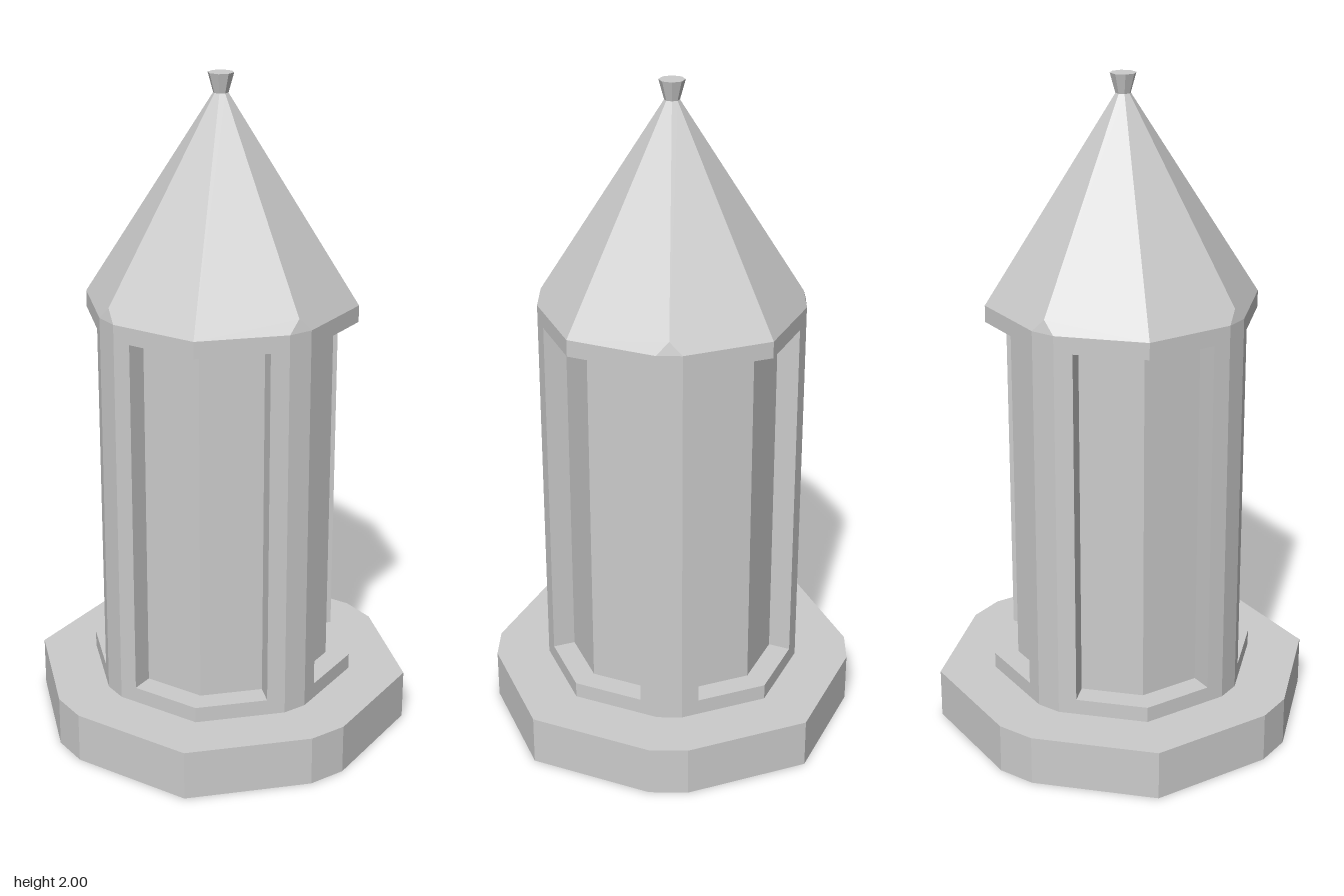
import * as THREE from 'three';

const material = new THREE.MeshStandardMaterial({ color: 0xcccccc, flatShading: true });
const SLOPE = Math.tan(Math.PI / 8); // slope of the octagon sides

// Outline of an octagon with corners on the axes and its diagonal corners cut at x = cut
function cutOctagon(r, cut) {
  const q = r - SLOPE * cut;
  const pts = [];
  for (let i = 0; i < 4; i++) {
    const a = i * Math.PI / 2;
    for (const [x, y] of [[r, 0], [q, cut], [cut, q]]) {
      pts.push(new THREE.Vector2(x, y).rotateAround(new THREE.Vector2(), a));
    }
  }
  return pts;
}

// Upright prism between two heights
function prism(name, pts, y0, y1) {
  const geo = new THREE.ExtrudeGeometry(new THREE.Shape(pts), { depth: y1 - y0, bevelEnabled: false });
  geo.rotateX(-Math.PI / 2);
  geo.translate(0, y0, 0);
  const mesh = new THREE.Mesh(geo, material);
  mesh.name = name;
  return mesh;
}

// Eight-sided spire whose diagonal corners are chamfered at the eaves
function roofGeometry(r, cut, y0, topR, y1) {
  const q = r - SLOPE * cut;
  const midR = 0.382;
  const d = Math.SQRT1_2;
  const midY = y0 + (r - midR) / (r - topR) * (y1 - y0);
  const A = [0, y0, r], B = [cut, y0, q], C = [q, y0, cut], D = [r, y0, 0];
  const M = [midR * d, midY, midR * d];
  const TA = [0, y1, topR], TM = [topR * d, y1, topR * d], TD = [topR, y1, 0];
  const faces = [[A, B, M, TM, TA], [B, C, M], [M, C, D, TD, TM]];
  const pos = [];
  const up = new THREE.Vector3(0, 1, 0);
  for (let i = 0; i < 4; i++) {
    for (const f of faces) {
      for (let k = 1; k < f.length - 1; k++) {
        for (const p of [f[0], f[k], f[k + 1]]) {
          pos.push(...new THREE.Vector3(...p).applyAxisAngle(up, i * Math.PI / 2).toArray());
        }
      }
    }
  }
  const geo = new THREE.BufferGeometry();
  geo.setAttribute('position', new THREE.Float32BufferAttribute(pos, 3));
  geo.computeVertexNormals();
  return geo;
}

export function createModel() {
  const group = new THREE.Group();
  const R = 0.406, CUT = 0.25, CORE = 0.333;
  const plan = cutOctagon(R, CUT);

  // Plinth, sill, recessed core and lintel
  group.add(prism('base', cutOctagon(0.578, 0.351), 0, 0.152));
  group.add(prism('sill', plan, 0.152, 0.2));
  group.add(prism('core', cutOctagon(CORE, 0.2), 0.2, 1.29));
  group.add(prism('lintel', plan, 1.29, 1.34));

  // Chamfered corner posts between the recessed bays
  const edge = 0.2, inner = 0.174;
  const half = [
    [inner, CORE - SLOPE * inner],
    [edge, R - SLOPE * edge],
    [CUT, R - SLOPE * CUT],
  ];
  const outline = [...half, ...half.map(([x, y]) => [y, x]).reverse()];
  const postPts = outline.map(([x, y]) => new THREE.Vector2(x, y));
  for (let i = 0; i < 4; i++) {
    const post = prism('cornerPost' + (i + 1), postPts, 0.2, 1.29);
    post.rotation.y = i * Math.PI / 2;
    group.add(post);
  }

  // Spire and its flared finial
  const roof = new THREE.Mesh(roofGeometry(R, CUT, 1.34, 0.022, 1.943), material);
  roof.name = 'roof';
  group.add(roof);

  const finial = new THREE.Mesh(new THREE.CylinderGeometry(0.038, 0.022, 0.057, 8), material);
  finial.name = 'finial';
  finial.position.y = 1.9715;
  group.add(finial);

  return group;
}
